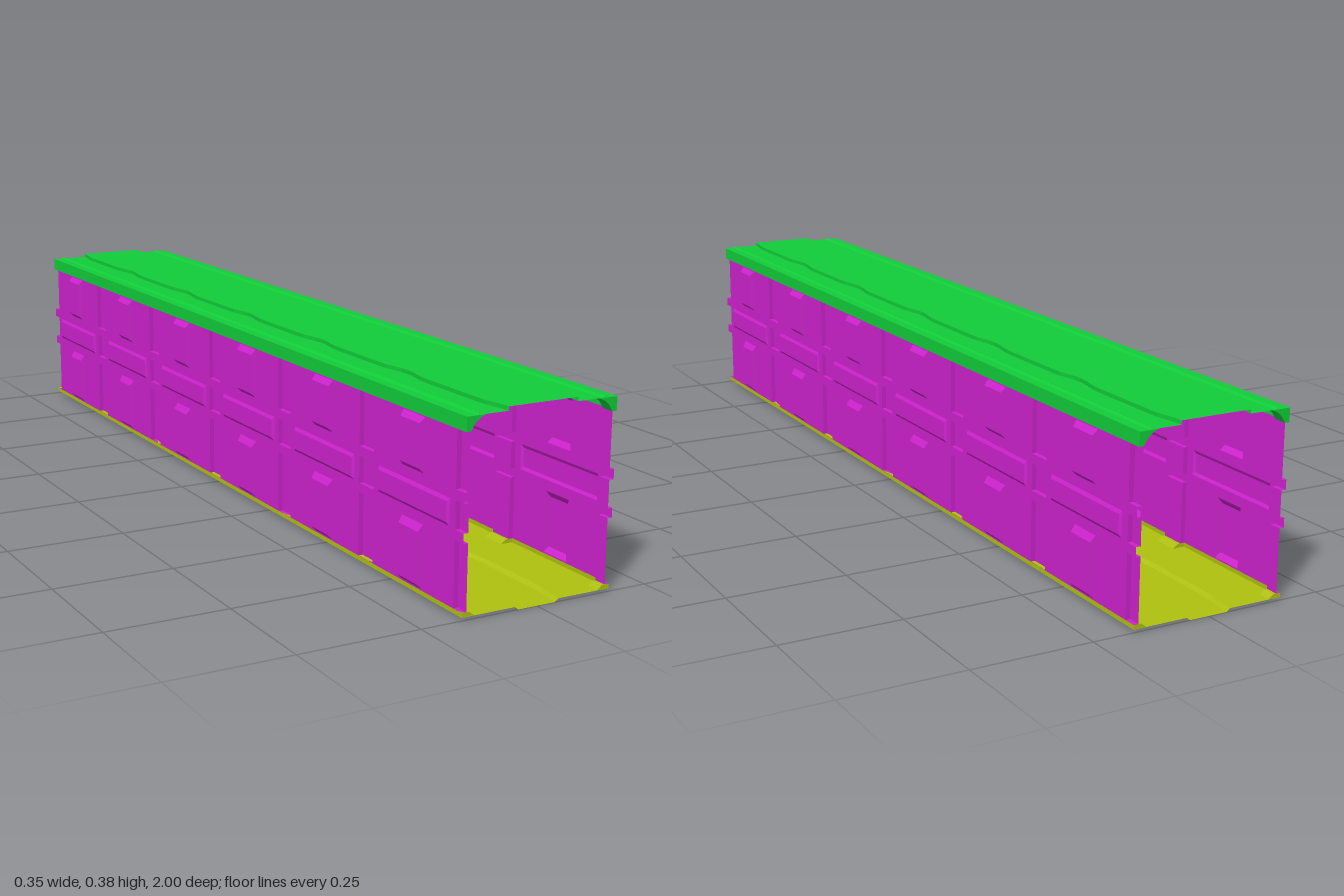
import * as THREE from 'three';

const mat = (color) => new THREE.MeshStandardMaterial({ color, side: THREE.DoubleSide, flatShading: true });
const BAY = 1 / 3, PILLAR = 0.027, WALL_X = 0.165;

// Mesh from a list of quads, each given as four [x, y, z] corners
function quadMesh(name, quads, material) {
  const pos = quads.flatMap(([a, b, c, d]) => [a, b, c, a, c, d].flat());
  const geo = new THREE.BufferGeometry();
  geo.setAttribute('position', new THREE.Float32BufferAttribute(pos, 3));
  geo.computeVertexNormals();
  const mesh = new THREE.Mesh(geo, material);
  mesh.name = name;
  return mesh;
}

// Pressed tray in a side wall: outer rectangle, bevelled to an inner one at another x
function tray(name, side, [z0, z1, y0, y1], depth, [bz, bTop, bBottom], material) {
  const ring = (x, z, top, bottom) => [
    [x, y0 + bottom, z0 + z], [x, y0 + bottom, z1 - z], [x, y1 - top, z1 - z], [x, y1 - top, z0 + z]];
  const outer = ring(side * WALL_X, 0, 0, 0);
  const inner = ring(side * (WALL_X + depth), bz, bTop, bBottom);
  const quads = [inner];
  for (let i = 0; i < 4; i++) {
    const j = (i + 1) % 4;
    // the half pillars stay open at the tunnel ends
    if (Math.abs(outer[i][2]) > 0.999 && Math.abs(outer[j][2]) > 0.999) continue;
    quads.push([outer[i], outer[j], inner[j], inner[i]]);
  }
  return quadMesh(name, quads, material);
}

function rectPath(PathType, [z0, z1, y0, y1]) {
  return new PathType([[z0, y0], [z1, y0], [z1, y1], [z0, y1]].map((p) => new THREE.Vector2(...p)));
}

// Flat wall panel with rectangular openings, turned into the z-y plane
function panel(name, side, rect, holes, material) {
  const shape = rectPath(THREE.Shape, rect);
  shape.holes = holes.map((h) => rectPath(THREE.Path, h));
  const geo = new THREE.ShapeGeometry(shape).rotateY(-Math.PI / 2).translate(side * WALL_X, 0, 0);
  const mesh = new THREE.Mesh(geo, material);
  mesh.name = name;
  return mesh;
}

// Long sheet swept along z from a cross-section that may vary with z
function sheet(name, profileAt, material) {
  const quads = [], steps = 96;
  for (let i = 0; i < steps; i++) {
    const z0 = -1 + (2 * i) / steps, z1 = -1 + (2 * (i + 1)) / steps;
    const a = profileAt(z0), b = profileAt(z1);
    for (let k = 0; k + 1 < a.length; k++) {
      quads.push([[...a[k], z0], [...b[k], z1], [...b[k + 1], z1], [...a[k + 1], z0]]);
    }
  }
  return quadMesh(name, quads, material);
}

const mirrored = (half) => [...half, ...half.map(([x, y]) => [-x, y]).reverse()];

// Short bump in a step edge at every pillar line
function wave(z) {
  const d = Math.abs(z / BAY - Math.round(z / BAY)) * BAY;
  return d < 0.08 ? 0.5 + 0.5 * Math.cos((d / 0.08) * Math.PI) : 0;
}

// Corner rib extruded along z at one pillar line
function rib(name, side, points, z, material) {
  const z0 = Math.max(-1, z - PILLAR), z1 = Math.min(1, z + PILLAR);
  const shape = new THREE.Shape(points.map(([x, y]) => new THREE.Vector2(side * x, y)));
  const geo = new THREE.ExtrudeGeometry(shape, { depth: z1 - z0, bevelEnabled: false }).translate(0, 0, z0);
  const mesh = new THREE.Mesh(geo, material);
  mesh.name = name;
  return mesh;
}

export function createModel() {
  const model = new THREE.Group();
  model.name = 'corridor';
  const magenta = mat(0xcc22cc), green = mat(0x11cc38), yellow = mat(0xaec010);

  for (const side of [-1, 1]) {
    const wall = new THREE.Group();
    wall.name = side > 0 ? 'leftWall' : 'rightWall';

    // Wall bays with outward window niches and a shallow middle band
    for (let i = 0; i < 6; i++) {
      const c = (i - 2.5) * BAY, half = BAY / 2 - PILLAR;
      const upper = [c - 0.036, c + 0.036, 0.24, 0.346];
      const lower = [c - 0.036, c + 0.036, 0.018, 0.143];
      const band = [c - 0.121, c + 0.121, 0.165, 0.217];
      wall.add(
        panel('wallPanel', side, [c - half, c + half, 0.015, 0.348], [upper, lower, band], magenta),
        tray('upperNiche', side, upper, 0.01, [0.003, 0.011, 0.01], magenta),
        tray('lowerNiche', side, lower, 0.01, [0.003, 0.013, 0.01], magenta),
        tray('middleBand', side, band, 0.004, [0.005, 0.007, 0.006], magenta));
    }

    // Pillars standing inward, in three blocks with gaps between
    for (let i = -3; i <= 3; i++) {
      const z = i * BAY, z0 = Math.max(-1, z - PILLAR), z1 = Math.min(1, z + PILLAR);
      for (const [y0, y1] of [[0.015, 0.144], [0.163, 0.218], [0.238, 0.348]]) {
        wall.add(tray('pillarBlock', side, [z0, z1, y0, y1], -0.01, [0, 0, 0], magenta));
      }
      for (const [y0, y1] of [[0.144, 0.163], [0.218, 0.238]]) {
        wall.add(panel('pillarGap', side, [z0, z1, y0, y1], [], magenta));
      }
      // Ribs in the roof and floor corners
      model.add(
        rib('roofRib', side, [[0.164, 0.348], [0.164, 0.3755], [0.125, 0.3755], [0.136, 0.37],
          [0.146, 0.362], [0.155, 0.348]], z, green),
        rib('floorRib', side, [[0.164, 0.0065], [0.164, 0.015], [0.149, 0.015], [0.138, 0.0065]], z, yellow));
    }
    model.add(wall);
  }

  // Roof: upright rims, small ridges and a raised centre with wavy edges
  model.add(sheet('roof', (z) => {
    const x = 0.086 - 0.01 * wave(z);
    return mirrored([[0.165, 0.348], [0.165, 0.376], [0.144, 0.376], [0.137, 0.379],
      [0.13, 0.376], [x, 0.376], [x, 0.384]]);
  }, green));

  // Floor: low rims and a sunken centre with wavy edges
  model.add(sheet('floor', (z) => {
    const x = 0.058 - 0.009 * wave(z);
    return mirrored([[0.165, 0.015], [0.165, 0.006], [x, 0.006], [x - 0.008, 0]]);
  }, yellow));

  return model;
}
